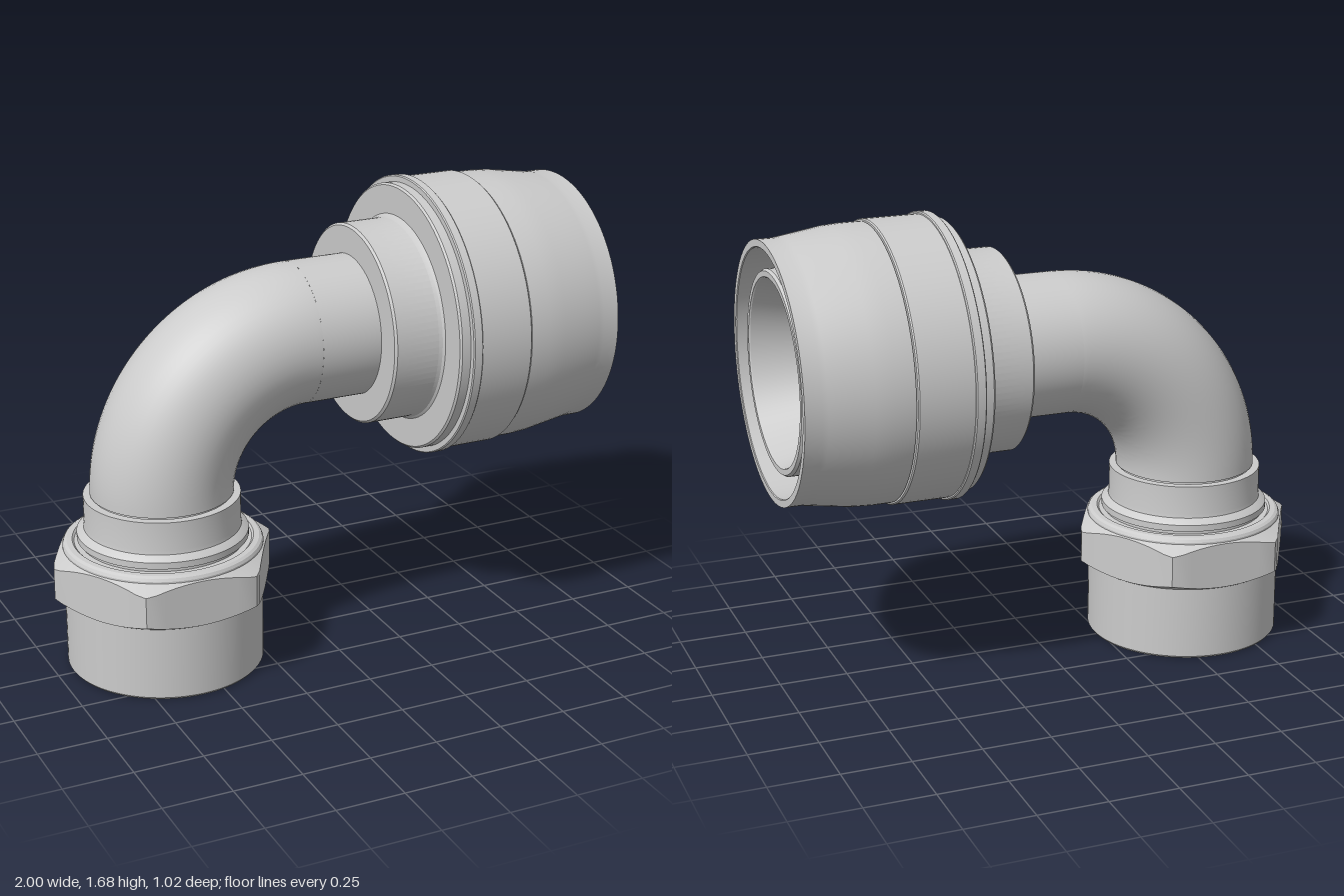
import * as THREE from 'three';
import { toCreasedNormals } from 'three/addons/utils/BufferGeometryUtils.js';

const AXIS_Y = 1.167;   // height of the horizontal pipe
const AXIS_X = -0.585;  // position of the vertical pipe
const BEND_R = 0.515, PIPE_R = 0.257, BORE_R = 0.22;

const grey = new THREE.MeshStandardMaterial({ color: 0xcccccc, side: THREE.DoubleSide });

function lathe(points, segments = 96) {
  const profile = points.map(([r, h]) => new THREE.Vector2(r, h));
  return new THREE.LatheGeometry(profile, segments);
}

function add(parent, name, geometry) {
  const mesh = new THREE.Mesh(toCreasedNormals(geometry, 0.3), grey);
  mesh.name = name;
  parent.add(mesh);
  return mesh;
}

// Hexagonal nut with its corners cut back by a cone above and below
function hexNut(y0, y1, flat, corner, inner) {
  const face = flat - 0.007;
  const rows = [[inner, y0], [face, y0], [flat, y0], [flat, y1], [face, y1], [inner, y1]];
  const geometry = lathe(rows, 72);
  const pos = geometry.attributes.position;
  for (let i = 0; i < pos.count; i++) {
    const row = i % rows.length;
    if (row !== 2 && row !== 3) continue;
    const angle = Math.atan2(pos.getX(i), pos.getZ(i));
    const sector = Math.PI / 3;
    const off = angle - Math.round(angle / sector) * sector;
    const r = Math.min(flat / Math.cos(off), corner);
    const drop = (r - face) * 0.55;
    pos.setXYZ(i, r * Math.sin(angle), row === 2 ? y0 + drop : y1 - drop, r * Math.cos(angle));
  }
  return geometry;
}

export function createModel() {
  const model = new THREE.Group();
  model.name = 'elbowFitting';

  // Elbow: quarter bend and straight run, each with an outer wall and a bore
  for (const [name, r] of [['Wall', PIPE_R], ['Bore', BORE_R]]) {
    const bend = new THREE.TorusGeometry(BEND_R, r, 48, 48, Math.PI / 2).rotateZ(Math.PI / 2);
    add(model, 'bend' + name, bend)
      .position.set(AXIS_X + BEND_R, AXIS_Y - BEND_R, 0);
    const end = r === PIPE_R ? 0.17 : 0.54;
    const run = lathe([[r, AXIS_X + BEND_R], [r, end]]).rotateZ(-Math.PI / 2);
    add(model, 'straight' + name, run).position.y = AXIS_Y;
  }

  // Push-fit coupling, turned about the horizontal axis
  const coupling = new THREE.Group();
  coupling.name = 'coupling';
  coupling.position.y = AXIS_Y;
  coupling.rotation.z = -Math.PI / 2;
  model.add(coupling);
  add(coupling, 'collar', lathe([
    [0.25, 0.155], [0.357, 0.155], [0.365, 0.163], [0.365, 0.325], [0.369, 0.338], [0.378, 0.346],
  ]));
  add(coupling, 'couplingBody', lathe([
    [0.36, 0.345], [0.48, 0.345], [0.487, 0.352], [0.487, 0.39], [0.502, 0.39],
    [0.502, 0.618], [0.498, 0.623], [0.48, 0.623],
  ]));
  add(coupling, 'couplingRing', lathe([
    [0.48, 0.385], [0.507, 0.385], [0.511, 0.389], [0.511, 0.418], [0.507, 0.422], [0.48, 0.422],
  ]));
  add(coupling, 'releaseSleeve', lathe([
    [0.48, 0.623], [0.494, 0.627], [0.494, 0.7], [0.49, 0.765], [0.466, 0.92], [0.463, 0.94],
    [0.463, 1], [0.438, 1], [0.435, 0.997], [0.435, 0.86], [0.34, 0.86],
  ]));
  add(coupling, 'nozzle', lathe([
    [0.36, 0.84], [0.36, 0.97], [0.353, 0.98], [0.333, 0.98], [0.329, 0.975], [BORE_R, 0.54],
  ]));

  // Threaded end, turned about the vertical axis
  const lowerEnd = new THREE.Group();
  lowerEnd.name = 'lowerEnd';
  lowerEnd.position.x = AXIS_X;
  model.add(lowerEnd);
  add(lowerEnd, 'socket', lathe([
    [BORE_R, 0.66], [BORE_R, 0.23], [0.32, 0.22], [0.32, 0.02], [0.335, 0], [0.351, 0],
    [0.357, 0.008], [0.357, 0.28],
  ].reverse()).scale(1, 1, 1));
  add(lowerEnd, 'hexNut', hexNut(0.275, 0.452, 0.366, 0.415, 0.3));
  add(lowerEnd, 'nutShoulder', lathe([
    [0.36, 0.45], [0.36, 0.458], [0.355, 0.468], [0.345, 0.474], [0.325, 0.475], [0.318, 0.468], [0.29, 0.468],
  ]));
  add(lowerEnd, 'neck', lathe([
    [0.296, 0.455], [0.296, 0.478], [0.308, 0.482], [0.308, 0.506], [0.302, 0.512],
    [0.283, 0.525], [0.281, 0.54], [0.281, 0.645], [0.25, 0.645],
  ]));

  // Small round mark on one nut face
  const mark = add(lowerEnd, 'nutMark', new THREE.TorusGeometry(0.015, 0.004, 8, 24));
  mark.position.set(-0.385, 0.36, -0.064);
  mark.rotation.y = Math.atan2(-0.866, -0.5);

  return model;
}
